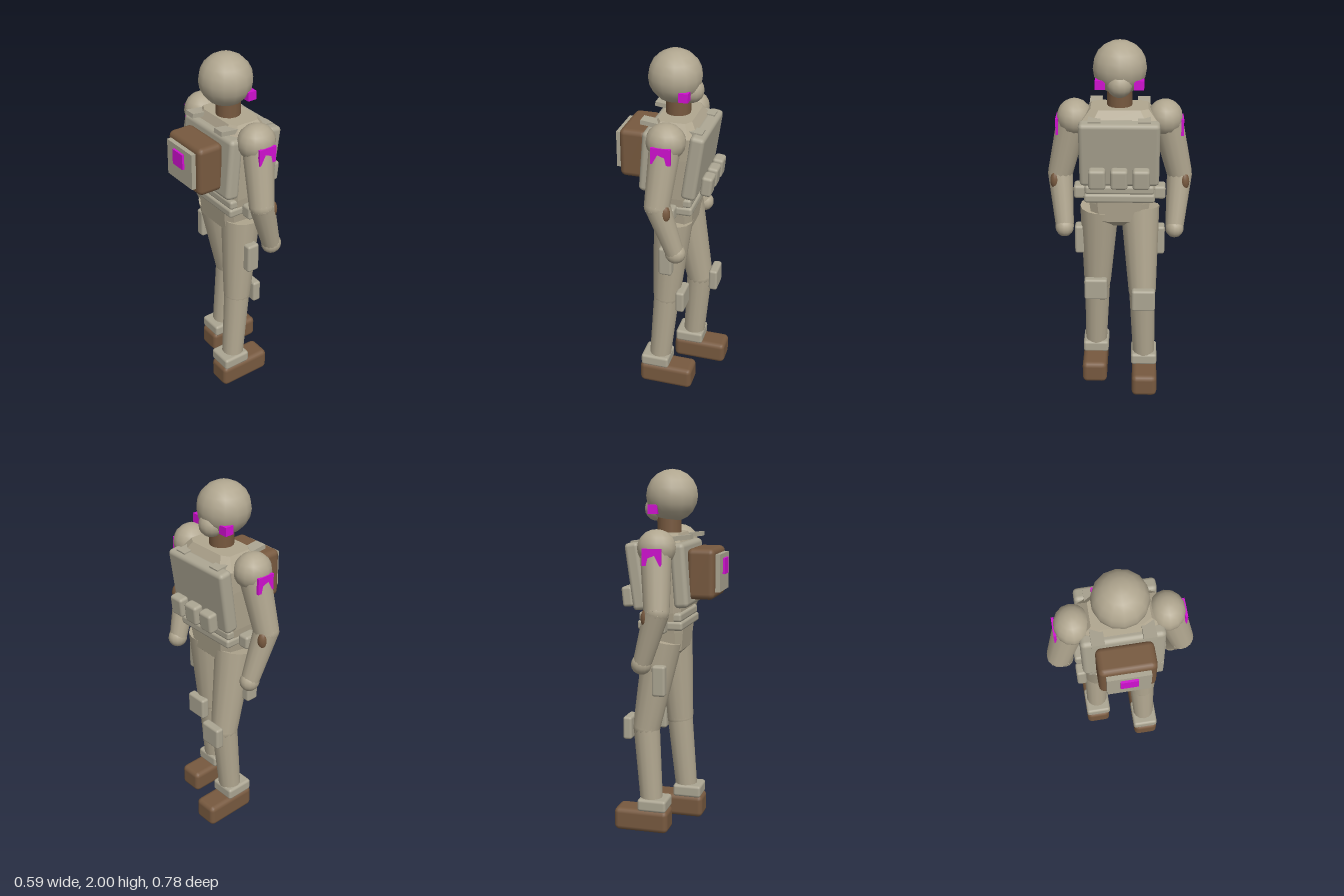
import * as THREE from 'three';
import { RoundedBoxGeometry } from 'three/addons/geometries/RoundedBoxGeometry.js';

const flat = (name, color, flatShading = false) => {
  const m = new THREE.MeshStandardMaterial({ color });
  m.name = name;
  m.flatShading = flatShading;
  return m;
};

export function createModel() {
  const root = new THREE.Group();
  root.name = 'armouredFigure';
  const cloth = flat('cloth', 0xb0a68f);
  const armour = flat('armour', 0xaba592);
  const brown = flat('brownLeather', 0x77593f);
  const magenta = flat('magentaMarker', 0xd010d0);

  const add = (name, geo, mat, pos, parent = root) => {
    const mesh = new THREE.Mesh(geo, mat);
    mesh.name = name;
    mesh.position.set(...pos);
    parent.add(mesh);
    return mesh;
  };
  // soft-edged box; tilt leans it forward
  const pad = (name, mat, pos, size, r, parent, tilt = 0) => {
    const mesh = add(name, new RoundedBoxGeometry(...size, 2, r), mat, pos, parent);
    mesh.rotation.z = -tilt;
    return mesh;
  };
  const plain = (name, mat, pos, size, parent) =>
    add(name, new THREE.BoxGeometry(...size), mat, pos, parent);
  const ball = (name, mat, pos, radii, parent) => {
    const mesh = add(name, new THREE.SphereGeometry(1, 14, 10), mat, pos, parent);
    mesh.scale.set(...radii);
    return mesh;
  };
  // tapered limb between two points
  const limb = (name, mat, a, b, ra, rb, parent) => {
    const A = new THREE.Vector3(...a), B = new THREE.Vector3(...b);
    const d = B.clone().sub(A);
    const mesh = add(name, new THREE.CylinderGeometry(rb, ra, d.length(), 14), mat,
      A.clone().add(B).multiplyScalar(0.5).toArray(), parent);
    mesh.quaternion.setFromUnitVectors(new THREE.Vector3(0, 1, 0), d.normalize());
    return mesh;
  };
  // loft of chamfered rectangles, rings listed bottom to top: [y, centre x, half x, half z]
  const loft = (name, mat, rings, parent) => {
    const pos = [], idx = [], n = 8, c = 0.72;
    const corners = [[1, c], [c, 1], [-c, 1], [-1, c], [-1, -c], [-c, -1], [c, -1], [1, -c]];
    for (const [y, cx, hx, hz] of rings)
      for (const [u, v] of corners) pos.push(cx + u * hx, y, v * hz);
    for (let r = 0; r < rings.length - 1; r++)
      for (let i = 0; i < n; i++) {
        const a = r * n + i, b = r * n + (i + 1) % n;
        idx.push(a, a + n, b, b, a + n, b + n);
      }
    const t = (rings.length - 1) * n;
    for (let i = 1; i < n - 1; i++) idx.push(0, i, i + 1, t, t + i + 1, t + i);
    let geo = new THREE.BufferGeometry();
    geo.setAttribute('position', new THREE.Float32BufferAttribute(pos, 3));
    geo.setIndex(idx);
    geo = geo.toNonIndexed();
    geo.computeVertexNormals();
    return add(name, geo, mat, [0, 0, 0], parent);
  };

  // head and neck
  ball('head', cloth, [0.006, 1.86, 0], [0.142, 0.14, 0.142]);
  ball('faceMask', cloth, [0.092, 1.79, 0], [0.066, 0.066, 0.066]);
  limb('neck', brown, [0.022, 1.62, 0], [0.022, 1.78, 0], 0.066, 0.066);

  // torso and pelvis
  loft('torso', cloth, [
    [1.14, 0.025, 0.105, 0.175], [1.25, 0.025, 0.105, 0.19], [1.48, 0.04, 0.125, 0.2],
    [1.6, 0.04, 0.125, 0.2], [1.665, 0.035, 0.09, 0.15],
  ]);
  loft('pelvis', cloth, [
    [0.995, 0.025, 0.06, 0.1], [1.035, 0.025, 0.1, 0.15], [1.16, 0.025, 0.112, 0.165],
  ]);

  // vest
  pad('chestPlate', armour, [0.153, 1.44, 0], [0.078, 0.36, 0.42], 0.022, root, 0.14);
  pad('backPlate', armour, [-0.085, 1.45, 0], [0.08, 0.34, 0.43], 0.025, root, 0.08);
  pad('bellyBand', armour, [0.025, 1.225, 0], [0.235, 0.05, 0.37], 0.015);
  pad('belt', armour, [0.025, 1.18, 0], [0.25, 0.05, 0.38], 0.015);
  for (const z of [-0.115, 0, 0.115])
    pad('chestPouch', armour, [0.216, 1.325, z], [0.06, 0.11, 0.09], 0.016, root, 0.1);

  // backpack
  pad('backpack', brown, [-0.185, 1.455, 0], [0.15, 0.27, 0.296], 0.03);
  plain('backpackPanel', armour, [-0.272, 1.46, 0], [0.026, 0.2, 0.225]);
  plain('backpackMarker', magenta, [-0.291, 1.492, 0], [0.012, 0.085, 0.09]);

  // parts that repeat on each side; the far leg steps forward
  for (const s of [1, -1]) {
    const arm = new THREE.Group();
    arm.name = s > 0 ? 'nearArm' : 'farArm';
    root.add(arm);
    const elbow = [0.002, 1.275, s * 0.323], wrist = [0.088, 1.0, s * 0.3];
    ball('shoulder', cloth, [0.025, 1.598, s * 0.238], [0.104, 0.097, 0.094], arm);
    limb('upperArm', cloth, [0.025, 1.58, s * 0.25], elbow, 0.083, 0.068, arm);
    ball('elbow', cloth, elbow, [0.068, 0.068, 0.068], arm);
    limb('forearm', cloth, elbow, wrist, 0.068, 0.05, arm);
    ball('hand', cloth, [0.093, 0.99, s * 0.3], [0.056, 0.055, 0.051], arm);
    ball('elbowPatch', brown, [0.05, 1.245, s * 0.348], [0.03, 0.05, 0.027], arm);
    plain('shoulderMarker', magenta, [0.025, 1.557, s * 0.329], [0.103, 0.088, 0.014], arm);

    plain('maskFilter', magenta, [0.081, 1.79, s * 0.1], [0.05, 0.048, 0.052]);
    const strap = plain('shoulderStrap', armour, [0.028, 1.632, s * 0.128], [0.328, 0.024, 0.066]);
    strap.rotation.z = -0.12;
    pad('hipPouch', armour, [0.025, 1.182, s * 0.215], [0.09, 0.075, 0.068], 0.015);

    const leg = new THREE.Group();
    leg.name = s > 0 ? 'nearLeg' : 'farLeg';
    root.add(leg);
    const kneeX = s > 0 ? -0.006 : 0.118, ankleX = s > 0 ? -0.045 : 0.086;
    const knee = [kneeX, 0.6, s * 0.128], ankle = [ankleX, 0.15, s * 0.141];
    limb('thigh', cloth, [0.028, 1.09, s * 0.11], knee, 0.107, 0.076, leg);
    ball('knee', cloth, knee, [0.075, 0.075, 0.075], leg);
    limb('shin', cloth, knee, ankle, 0.073, 0.062, leg);
    pad('kneePad', armour, [kneeX + 0.092, 0.6, s * 0.134], [0.05, 0.128, 0.13], 0.014, leg);
    pad('thighPouch', armour, [0.018, 0.887, s * 0.222], [0.074, 0.168, 0.055], 0.014, leg);
    const footX = s > 0 ? 0.005 : 0.135;
    pad('bootCuff', armour, [footX - 0.064, 0.163, s * 0.141], [0.164, 0.07, 0.148], 0.016, leg);
    pad('boot', brown, [footX, 0.07, s * 0.144], [0.31, 0.13, 0.142], 0.028, leg);
  }
  return root;
}
